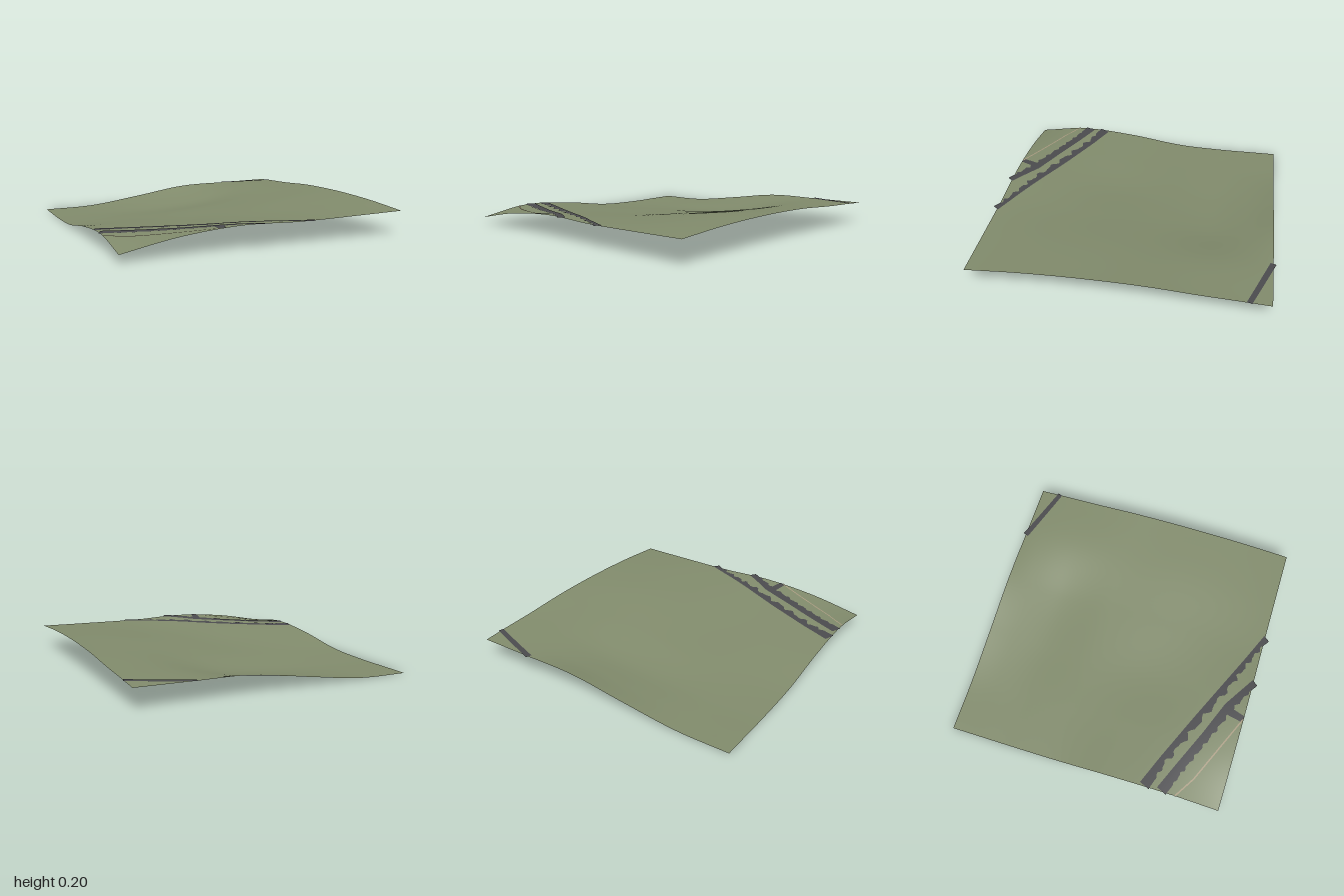
import * as THREE from 'three';

// Terrain heights at a coarse grid of x columns and z rows
const XS = [-0.97, -0.6, -0.2, 0.2, 0.6, 0.97];
const ZS = [-0.98, -0.8, -0.55, -0.2, 0.2, 0.6, 0.96];
const HEIGHTS = [
  [0.005, 0.015, 0.07, 0.13, 0.14, 0.147],
  [0.005, 0.01, 0.04, 0.085, 0.138, 0.158],
  [0.005, 0.008, 0.018, 0.055, 0.138, 0.17],
  [0.02, 0.03, 0.05, 0.09, 0.15, 0.193],
  [0.078, 0.075, 0.077, 0.12, 0.17, 0.2],
  [0.105, 0.115, 0.12, 0.135, 0.168, 0.19],
  [0.055, 0.125, 0.16, 0.152, 0.158, 0.166],
];

// Smooth cubic through unevenly spaced knots
function cubic(ks, vs, t) {
  const last = ks.length - 1;
  t = THREE.MathUtils.clamp(t, ks[0], ks[last]);
  let i = 0;
  while (i < last - 1 && t > ks[i + 1]) i++;
  const slope = (j) => {
    const a = Math.max(j - 1, 0), b = Math.min(j + 1, last);
    return (vs[b] - vs[a]) / (ks[b] - ks[a]);
  };
  const d = ks[i + 1] - ks[i], s = (t - ks[i]) / d, s2 = s * s, s3 = s2 * s;
  return (2 * s3 - 3 * s2 + 1) * vs[i] + (s3 - 2 * s2 + s) * d * slope(i)
    + (3 * s2 - 2 * s3) * vs[i + 1] + (s3 - s2) * d * slope(i + 1);
}

const heightAt = (x, z) => Math.max(0, cubic(ZS, HEIGHTS.map((row) => cubic(XS, row, x)), z));

// Sheet whose unit square (u, v) is placed by a rule returning [x, z], then draped on the ground
function drapedSheet(name, color, nu, nv, lift, place) {
  const geo = new THREE.PlaneGeometry(1, 1, nu, nv).rotateX(-Math.PI / 2);
  const pos = geo.attributes.position;
  for (let i = 0; i < pos.count; i++) {
    const [x, z] = place(pos.getX(i) + 0.5, pos.getZ(i) + 0.5);
    pos.setXYZ(i, x, heightAt(x, z) + lift, z);
  }
  geo.computeVertexNormals();
  const mesh = new THREE.Mesh(geo, new THREE.MeshStandardMaterial({ color, side: THREE.DoubleSide }));
  mesh.name = name;
  return mesh;
}

// Point at fraction u along a polyline of [x, z] pairs
function along(points, u) {
  const f = u * (points.length - 1), i = Math.min(Math.floor(f), points.length - 2);
  const [a, b] = [points[i], points[i + 1]];
  return [a[0] + (b[0] - a[0]) * (f - i), a[1] + (b[1] - a[1]) * (f - i)];
}

// Strip between two edges; ragged bites into the second edge
function strip(name, color, edgeA, edgeB, ragged = 0, lift = 0.003) {
  return drapedSheet(name, color, 72, 3, lift, (u, v) => {
    const a = along(edgeA, u), b = along(edgeB, u);
    const fade = Math.min(1, u * 5) * Math.min(1, (1 - u) * 12);
    const bite = ragged * fade * (0.5 + 0.3 * Math.sin(u * 75) + 0.2 * Math.sin(u * 131));
    const k = v * (1 - bite);
    return [a[0] + (b[0] - a[0]) * k, a[1] + (b[1] - a[1]) * k];
  });
}

export function createModel() {
  const group = new THREE.Group();
  group.name = 'terrainTile';
  const asphalt = 0x4a4a4d;

  // Rolling ground
  group.add(drapedSheet('ground', 0x808a6b, 64, 64, 0, (u, v) => [-0.97 + 1.94 * u, -0.98 + 1.94 * v]));

  // Pair of roads crossing the front right corner
  group.add(strip('upperRoad', asphalt,
    [[-0.95, 0.4], [-0.74, 0.485], [-0.43, 0.62], [-0.11, 0.765], [0.1, 0.86], [0.31, 0.95]],
    [[-0.98, 0.47], [-0.77, 0.55], [-0.46, 0.69], [-0.13, 0.83], [0.08, 0.91], [0.28, 0.99]], 0.6));
  group.add(strip('lowerRoad', asphalt,
    [[-0.95, 0.52], [-0.74, 0.61], [-0.5, 0.715], [-0.26, 0.81], [-0.04, 0.95]].map(([x, z]) => [x, z]),
    [[-0.98, 0.59], [-0.77, 0.68], [-0.53, 0.78], [-0.28, 0.885], [-0.07, 0.99]], 0.3));

  // Short branch to the front edge
  group.add(strip('branchRoad', asphalt,
    [[-0.27, 0.84], [-0.31, 0.96]], [[-0.33, 0.84], [-0.355, 0.95]]));

  // Narrow footpath beside the roads
  const path = [[-0.97, 0.645], [-0.82, 0.738], [-0.57, 0.847], [-0.33, 0.952]];
  group.add(strip('footpath', 0xa89a80, path, path.map(([x, z]) => [x - 0.004, z + 0.009])));

  // Road across the back left corner
  group.add(strip('backRoad', asphalt,
    [[0.58, -0.998], [0.98, -0.855]], [[0.567, -0.96], [0.967, -0.823]]));

  return group;
}
